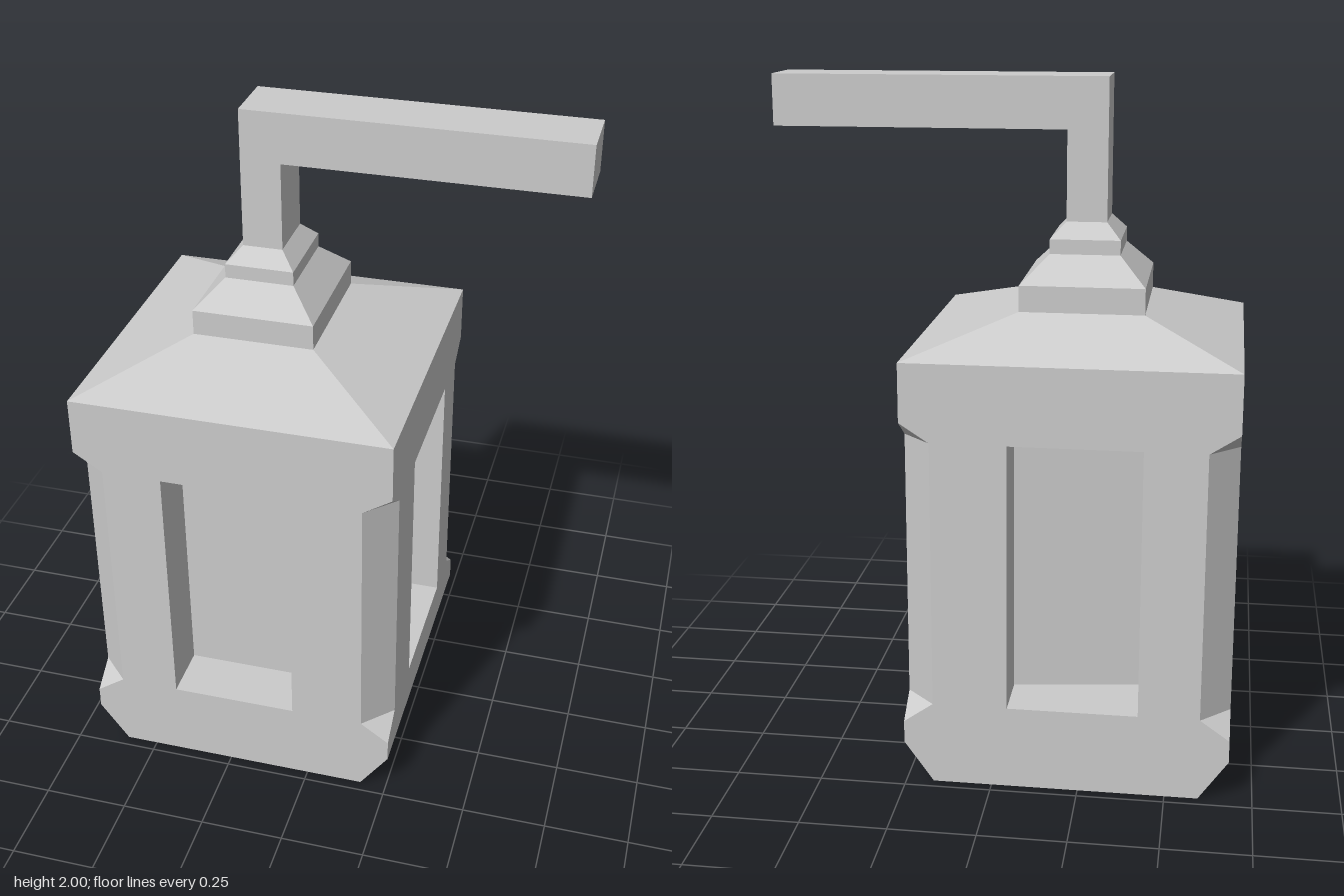
import * as THREE from 'three';

const CX = -0.2125, H = 0.468, C = 0.085; // body centre, half width, corner cut
const material = new THREE.MeshStandardMaterial({ color: 0xcccccc, flatShading: true });

// Flat-shaded mesh from counter-clockwise polygons
function facets(name, polygons) {
  const pos = [];
  for (const p of polygons)
    for (let i = 1; i < p.length - 1; i++) pos.push(...p[0], ...p[i], ...p[i + 1]);
  const g = new THREE.BufferGeometry();
  g.setAttribute('position', new THREE.Float32BufferAttribute(pos, 3));
  g.computeVertexNormals();
  const mesh = new THREE.Mesh(g, material);
  mesh.name = name;
  return mesh;
}

// Stack of rectangular sections [y, x0, x1, z0, z1]
function loft(name, sections) {
  const rings = sections.map(([y, x0, x1, z0, z1]) =>
    [[x0, y, z1], [x1, y, z1], [x1, y, z0], [x0, y, z0]]);
  const polys = [];
  for (let k = 0; k < rings.length - 1; k++)
    for (let i = 0; i < 4; i++) {
      const j = (i + 1) % 4;
      polys.push([rings[k][i], rings[k][j], rings[k + 1][j], rings[k + 1][i]]);
    }
  polys.push(rings[rings.length - 1]);
  return facets(name, polys);
}

// Wall facing +z with a recessed window, d0 and d1 being its depth at u0 and u1
function wall(name, foot, u0, u1, d0, d1, angle) {
  const group = new THREE.Group();
  group.name = name;
  const right = [...foot, [H, 0.185], [H - C, 0.245], [H - C, 1.03], [H, 1.085], [H, 1.255]];
  const left = right.map(([x, y]) => [-x, y]).reverse();
  const shape = new THREE.Shape([...right, ...left].map(p => new THREE.Vector2(...p)));
  const y0 = 0.245, y1 = 1.03;
  const corners = [[u0, y0], [u1, y0], [u1, y1], [u0, y1]];
  shape.holes.push(new THREE.Path(corners.map(p => new THREE.Vector2(...p)).reverse()));
  const face = new THREE.Mesh(new THREE.ShapeGeometry(shape), material);
  face.position.z = H;
  face.name = 'wallFace';

  const outer = corners.map(([u, y]) => [u, y, H]);
  const inner = corners.map(([u, y]) => [u, y, H - (u === u0 ? d0 : d1)]);
  const polys = [inner];
  for (let i = 0; i < 4; i++) {
    const j = (i + 1) % 4;
    polys.push([outer[i], outer[j], inner[j], inner[i]]);
  }
  group.add(face, facets('windowRecess', polys));
  group.rotation.y = angle;
  return group;
}

// Cut corner with pointed ends, at +x +z before turning
function cornerCut(angle) {
  const a = H - C;
  const cut = facets('cornerCut', [
    [[a, 0.245, H], [H, 0.245, a], [H, 1.03, a], [a, 1.03, H]],
    [[H, 0.185, H], [H, 0.245, a], [a, 0.245, H]],
    [[a, 1.03, H], [H, 1.03, a], [H, 1.085, H]],
  ]);
  cut.rotation.y = angle;
  return cut;
}

export function createModel() {
  const model = new THREE.Group();
  const body = new THREE.Group();
  body.name = 'body';
  body.position.x = CX;

  // Four walls: front and back reach the ground, the sides stop at the bevel
  const deepFoot = [[H - C, 0], [H, 0.12]], sideFoot = [[H, 0.12]];
  body.add(
    wall('frontWall', deepFoot, -0.2075, 0.1675, 0.165, 0.165, 0),
    wall('backWall', deepFoot, -0.1675, 0.2075, 0.16, 0.21, Math.PI),
    wall('leftWall', sideFoot, -0.19, 0.23, 0.15, 0.15, Math.PI / 2),
    wall('rightWall', sideFoot, -0.23, 0.19, 0.14, 0.01, -Math.PI / 2),
  );
  for (let i = 0; i < 4; i++) body.add(cornerCut(i * Math.PI / 2));

  // Bevelled base
  const b = H - C;
  body.add(facets('base', [
    [[-b, 0, -H], [b, 0, -H], [b, 0, H], [-b, 0, H]],
    [[b, 0, H], [b, 0, -H], [H, 0.12, -H], [H, 0.12, H]],
    [[-b, 0, -H], [-b, 0, H], [-H, 0.12, H], [-H, 0.12, -H]],
  ]));
  model.add(body);

  // Roof and stepped cap
  model.add(loft('roof', [
    [1.255, CX - H, CX + H, -H, H],
    [1.355, -0.403, -0.047, -0.232, 0.182],
  ]));
  model.add(loft('steppedCap', [
    [1.355, -0.403, -0.047, -0.232, 0.182],
    [1.43, -0.403, -0.047, -0.232, 0.182],
    [1.508, -0.326, -0.125, -0.153, 0.106],
    [1.55, -0.326, -0.125, -0.153, 0.106],
    [1.595, -0.284, -0.168, -0.112, 0.064],
  ]));

  // Bent bracket
  const bracket = new THREE.Shape([
    [-0.284, 1.59], [-0.168, 1.59], [-0.168, 1.853], [0.678, 1.853], [0.678, 2], [-0.284, 2],
  ].map(p => new THREE.Vector2(...p)));
  const arm = new THREE.Mesh(
    new THREE.ExtrudeGeometry(bracket, { depth: 0.176, bevelEnabled: false }), material);
  arm.position.z = -0.112;
  arm.name = 'bracketArm';
  model.add(arm);
  return model;
}
